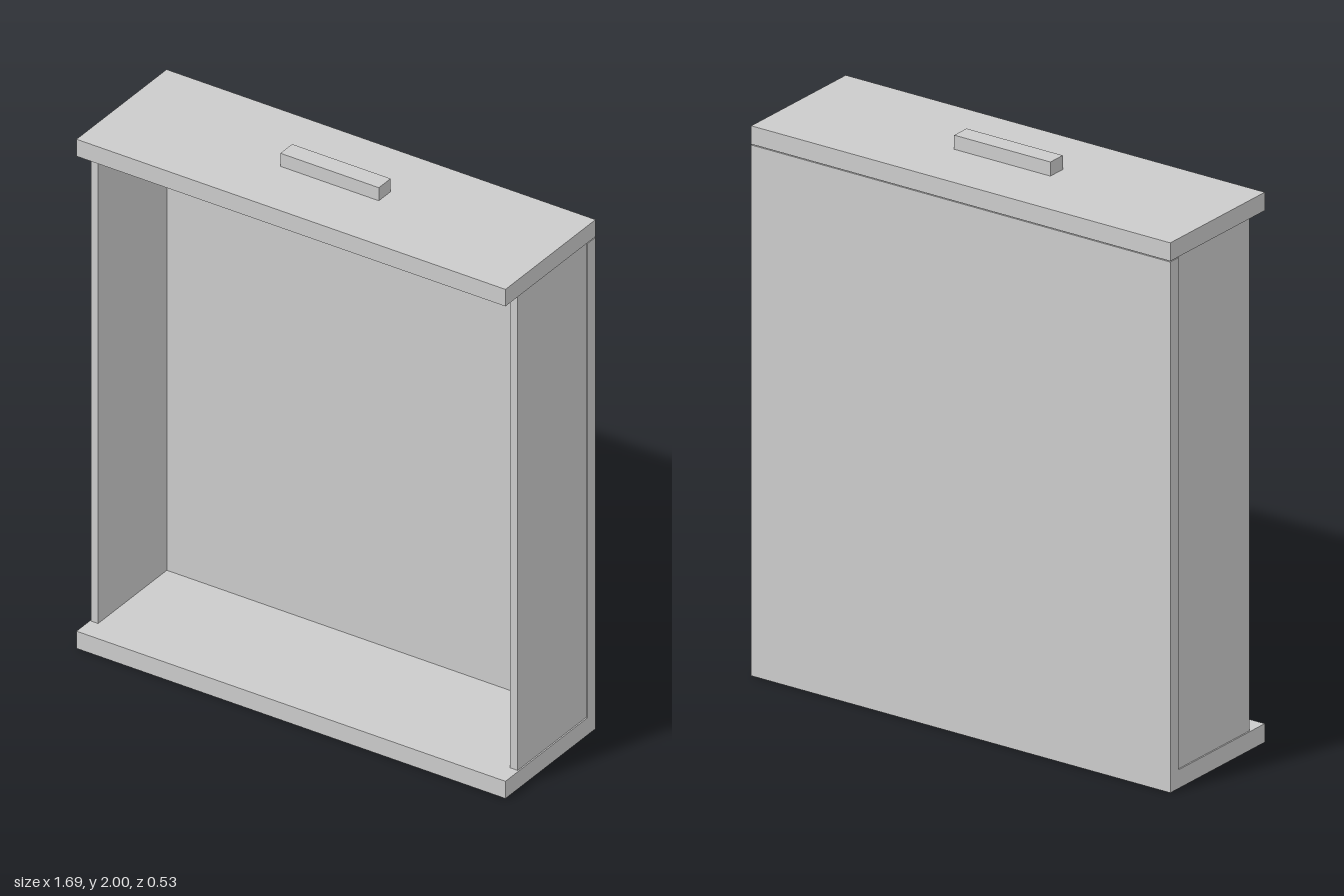
import * as THREE from 'three';

export function createModel() {
  const model = new THREE.Group();
  model.name = 'openBox';
  const material = new THREE.MeshStandardMaterial({ color: 0xcccccc, flatShading: true });

  // Box given by its lower and upper corner
  function slab(name, [x0, y0, z0], [x1, y1, z1]) {
    const mesh = new THREE.Mesh(new THREE.BoxGeometry(x1 - x0, y1 - y0, z1 - z0), material);
    mesh.position.set((x0 + x1) / 2, (y0 + y1) / 2, (z0 + z1) / 2);
    mesh.name = name;
    model.add(mesh);
  }

  const W = 0.845, D = 0.264;      // half width and half depth
  const low = 0.066, high = 1.885; // inner faces of the end boards
  const backFront = -0.218;        // inner face of the back panel

  // Deep boards at the bottom and top
  slab('bottomBoard', [-W, 0, -D], [W, low, D]);
  slab('topBoard', [-W, high, -D], [W, 1.95, D]);

  // Back panel, with a hairline gap below the top board
  slab('backPanel', [-W, low, -D], [W, high - 0.003, backFront]);

  // Thin side panels, set back from the front edge
  slab('leftSide', [0.809, low, backFront], [0.84, high, 0.185]);
  slab('rightSide', [-0.84, low, backFront], [-0.813, high, 0.185]);

  // Carrying handle on top
  slab('handle', [-0.197, 1.95, -0.036], [0.191, 2, 0.033]);

  return model;
}
